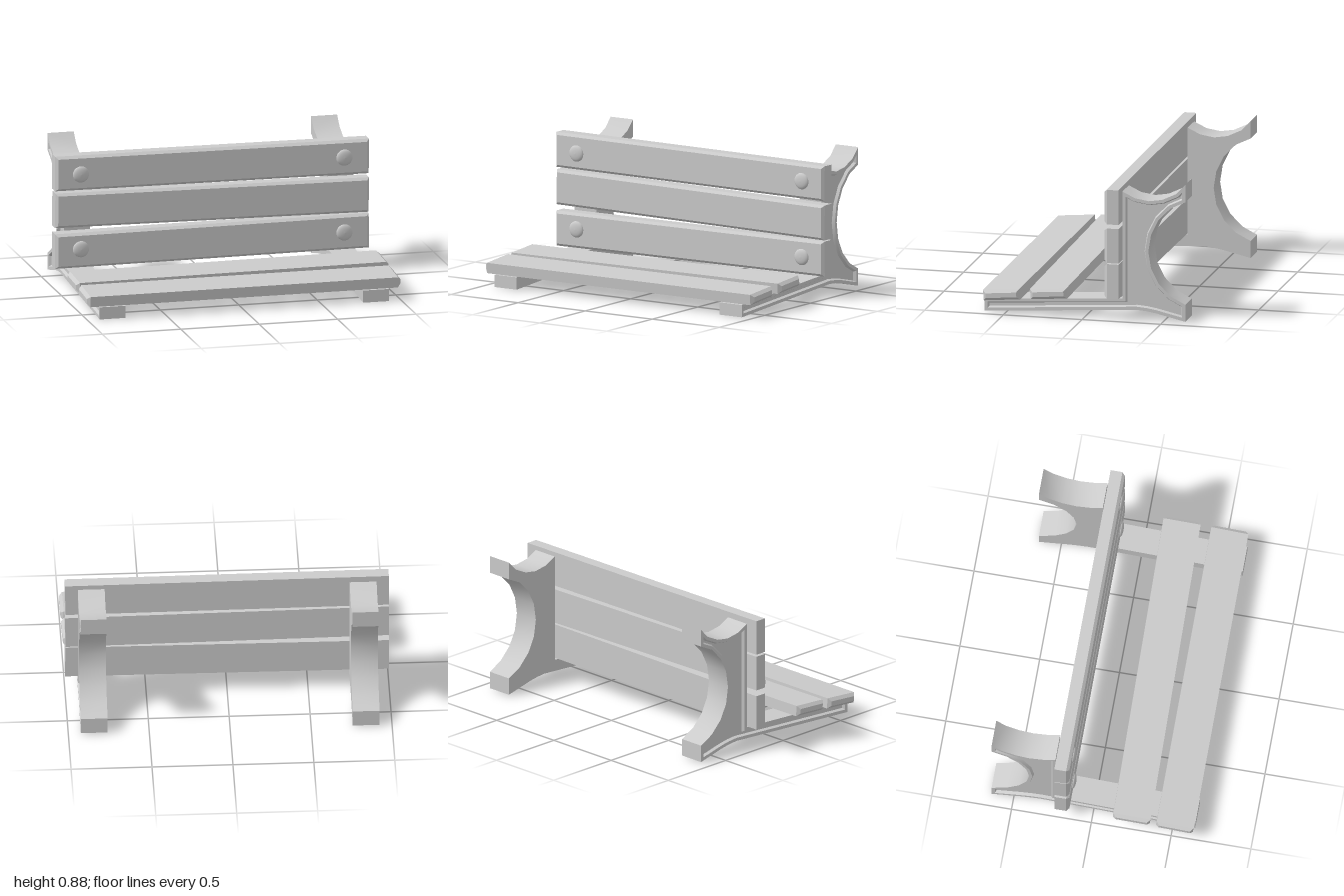
import * as THREE from 'three';
import { toCreasedNormals } from 'three/addons/utils/BufferGeometryUtils.js';

const material = new THREE.MeshStandardMaterial({ color: 0xcccccc });

// Moves every edge of a counter-clockwise loop inward by d.
function inset(loop, d) {
  const n = loop.length;
  const normal = (a, b) => new THREE.Vector2(a.y - b.y, b.x - a.x).normalize();
  return loop.map((p, i) => {
    const n1 = normal(loop[(i + n - 1) % n], p);
    const n2 = normal(p, loop[(i + 1) % n]);
    const k = d / (1 + n1.dot(n2));
    return new THREE.Vector2(p.x + (n1.x + n2.x) * k, p.y + (n1.y + n2.y) * k);
  });
}

// Joins (z, y) loops placed along x into a capped solid; mirror flips it over x.
function loft(stages, mirror = false) {
  const positions = [];
  const s = mirror ? -1 : 1;
  const triangle = (...corners) => {
    if (mirror) corners.reverse();
    for (const [p, x] of corners) positions.push(x * s, p.y, p.x);
  };
  for (let k = 0; k < stages.length - 1; k++) {
    const [A, xa] = stages[k];
    const [B, xb] = stages[k + 1];
    for (let i = 0; i < A.length; i++) {
      const j = (i + 1) % A.length;
      triangle([A[i], xa], [B[i], xb], [B[j], xb]);
      triangle([A[i], xa], [B[j], xb], [A[j], xa]);
    }
  }
  const [first, x0] = stages[0];
  const [last, x1] = stages[stages.length - 1];
  for (const [a, b, c] of THREE.ShapeUtils.triangulateShape(first, [])) {
    triangle([first[a], x0], [first[b], x0], [first[c], x0]);
  }
  for (const [a, b, c] of THREE.ShapeUtils.triangulateShape(last, [])) {
    triangle([last[a], x1], [last[c], x1], [last[b], x1]);
  }
  const geometry = new THREE.BufferGeometry();
  geometry.setAttribute('position', new THREE.Float32BufferAttribute(positions, 3));
  return toCreasedNormals(geometry, 0.5);
}

function rectangle(w, h) {
  return [[-1, -1], [1, -1], [1, 1], [-1, 1]].map(
    ([x, y]) => new THREE.Vector2((x * w) / 2, (y * h) / 2));
}

function add(group, name, geometry, x, y, z) {
  const mesh = new THREE.Mesh(geometry, material);
  mesh.name = name;
  mesh.position.set(x, y, z);
  group.add(mesh);
  return mesh;
}

export function createModel() {
  const bench = new THREE.Group();
  bench.name = 'bench';

  // Side supports: seat arm, upright and curved rear horns, as (z, y)
  const profile = [
    [-0.238, 0.81], [-0.317, 0.772], [-0.406, 0.758], [-0.492, 0.772], [-0.578, 0.813],
    [-0.638, 0.875], [-0.638, 0.765], [-0.544, 0.72], [-0.468, 0.642], [-0.42, 0.545],
    [-0.403, 0.437], [-0.42, 0.33], [-0.468, 0.237], [-0.544, 0.161], [-0.638, 0.113],
    [-0.638, 0.005], [-0.451, 0.048], [-0.39, 0.058], [-0.328, 0.063], [0.638, 0],
    [0.638, 0.077], [-0.238, 0.13],
  ].map(([z, y]) => new THREE.Vector2(z, y));
  // Outer face has a raised rim around a shallow sunk panel
  const supportStages = [
    [profile, 0.757], [profile, 0.923], [inset(profile, 0.02), 0.923],
    [inset(profile, 0.028), 0.905],
  ];
  add(bench, 'leftSupport', loft(supportStages), 0, 0, 0);
  add(bench, 'rightSupport', loft(supportStages, true), 0, 0, 0);

  // Back slats: chamfered around the front face, each slightly crooked
  const board = rectangle(2, 0.22);
  const backSlat = loft([
    [board, -0.046], [board, 0.028], [inset(board, 0.016), 0.046],
  ]).rotateY(-Math.PI / 2);
  [[0.73, -0.0055], [0.49, -0.011], [0.247, 0.005]].forEach(([y, roll], i) => {
    add(bench, `backSlat${i + 1}`, backSlat, 0, y, -0.186).rotation.z = roll;
  });

  // Seat slats: chamfered ends, lying on the sloping arms
  const section = rectangle(0.232, 0.066);
  const end = inset(section, 0.018);
  const seatSlat = loft([[end, -1], [section, -0.98], [section, 0.98], [end, 1]]);
  add(bench, 'frontSeatSlat', seatSlat, 0, 0.123, 0.518).rotation.set(0.085, 0.002, 0);
  add(bench, 'rearSeatSlat', seatSlat, 0, 0.146, 0.233).rotation.set(0.075, 0.0165, 0);

  // Domed bolt heads on the top and bottom back slats
  const dome = [[0.052, -0.005], [0.051, 0.004], [0.045, 0.01], [0.034, 0.015], [0.018, 0.018], [0, 0.019]]
    .map(([r, h]) => new THREE.Vector2(r, h));
  const bolt = new THREE.LatheGeometry(dome, 24).rotateX(Math.PI / 2);
  for (const x of [-0.84, 0.84]) {
    for (const y of [0.728, 0.252]) add(bench, 'boltHead', bolt, x, y, -0.141);
  }

  return bench;
}
